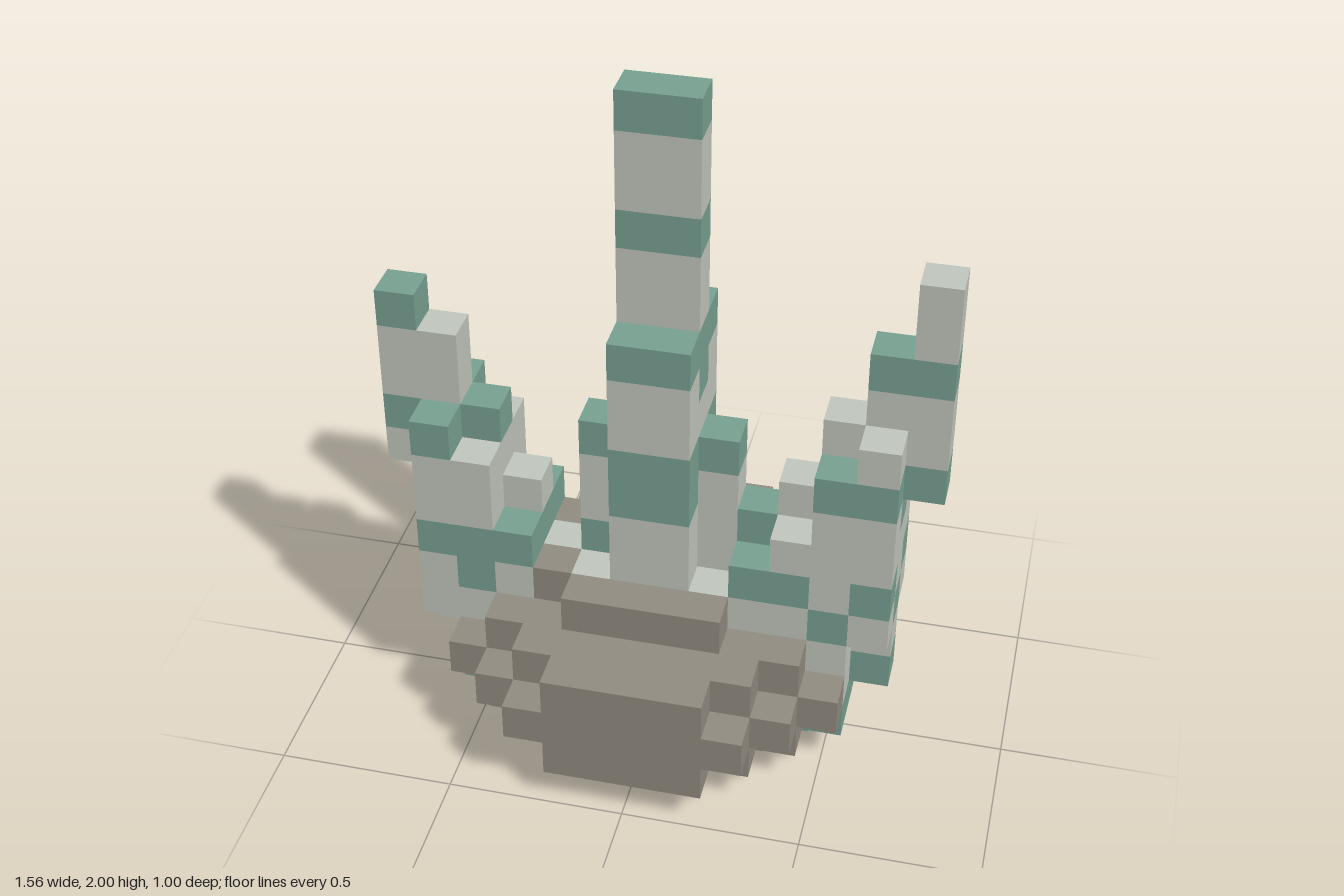
import * as THREE from 'three';

const U = 1 / 9; // edge of one cube

export function createModel() {
  const mat = (name, color) => new THREE.MeshStandardMaterial({ name, color });
  const rockMat = mat('rock grey brown', 0x938e82);
  const coral = { L: mat('coral pale grey', 0xc4c9c0), G: mat('coral green', 0x7aa393) };
  const root = new THREE.Group();
  root.name = 'coralOnRock';

  const group = (name) => {
    const g = new THREE.Group();
    g.name = name;
    root.add(g);
    return g;
  };

  // block from cube index x, y and layer z, sized in cubes; layers are centred on z = 0
  function block(parent, name, material, x, y, z, w, h, d = 1) {
    const m = new THREE.Mesh(new THREE.BoxGeometry(w * U, h * U, d * U), material);
    m.position.set((x + w / 2) * U, (y + h / 2) * U, z * U);
    m.name = name;
    parent.add(m);
  }

  // vertical column banded from the bottom up, one letter per cube
  function column(parent, name, x, z, y, bands, w = 1) {
    for (const run of bands.match(/L+|G+/g)) {
      block(parent, name, coral[run[0]], x, y, z, w, run.length);
      y += run.length;
    }
  }

  // Rock: half widths for rows 0 to 4, by distance from the middle layer
  const rock = group('rock');
  const halfWidths = [
    [0, 4, 4, 4, 0],
    [3, 4, 4, 4, 0],
    [2, 4, 5, 4, 2],
    [0, 3, 4, 3, 0],
    [0, 2, 3, 2, 0],
  ];
  for (let z = -4; z <= 4; z++) {
    halfWidths[Math.abs(z)].forEach((h, y) => {
      if (h) block(rock, 'rockRow', rockMat, -h, y, z, 2 * h, 1);
    });
  }
  for (const x of [-3, 1]) block(rock, 'rockBase', rockMat, x, 0, 0, 2, 1);
  for (const z of [-1, 1]) block(rock, 'rockTop', rockMat, -3, 4, z, 1, 1);

  // Central stem with a short shoot on each side
  const stem = group('centralStem');
  column(stem, 'stemCore', -1, 0, 4, 'LLLGGLGGLLGLLG', 2);
  column(stem, 'stemRoot', -1, 0, 0, 'G', 2);
  column(stem, 'rightShoot', -2, 0, 4, 'LGLLG');
  column(stem, 'leftShoot', 1, 0, 4, 'LLLLG');
  for (const z of [-1, 1]) {
    column(stem, 'stemSide', -1, z, 4, 'LLLGGLLG', 2);
    column(stem, 'stemFoot', -2, z, 4, 'L');
    column(stem, 'stemFoot', 1, z, 4, 'L');
  }

  // Branches: [x, bottom row, bands] for the middle layer and the two outer layers
  const branches = {
    rightBranch: {
      middle: [[-7, 7, 'LGLLG'], [-6, 2, 'LLGLLLGLL'], [-5, 1, 'GLLGGLLG'],
        [-4, 4, 'LGL'], [-4, 0, 'G'], [-3, 4, 'L']],
      outer: [[-6, 3, 'LLGLLG'], [-5, 1, 'GLLGGLL'], [-4, 4, 'LG']],
    },
    leftBranch: {
      middle: [[2, 4, 'LGG'], [3, 4, 'LGLL'], [3, 0, 'G'], [4, 1, 'GLLGLLLGL'],
        [5, 2, 'GLGLLGGLLG'], [6, 8, 'GLLGLL']],
      outer: [[2, 4, 'LG'], [3, 4, 'LGL'], [4, 1, 'GLLGLLLG'], [5, 4, 'LGLLGL']],
    },
  };
  for (const [name, { middle, outer }] of Object.entries(branches)) {
    const g = group(name);
    for (const [x, y, bands] of middle) column(g, name + 'Core', x, 0, y, bands);
    for (const z of [-1, 1]) {
      for (const [x, y, bands] of outer) column(g, name + 'Side', x, z, y, bands);
    }
  }
  return root;
}
